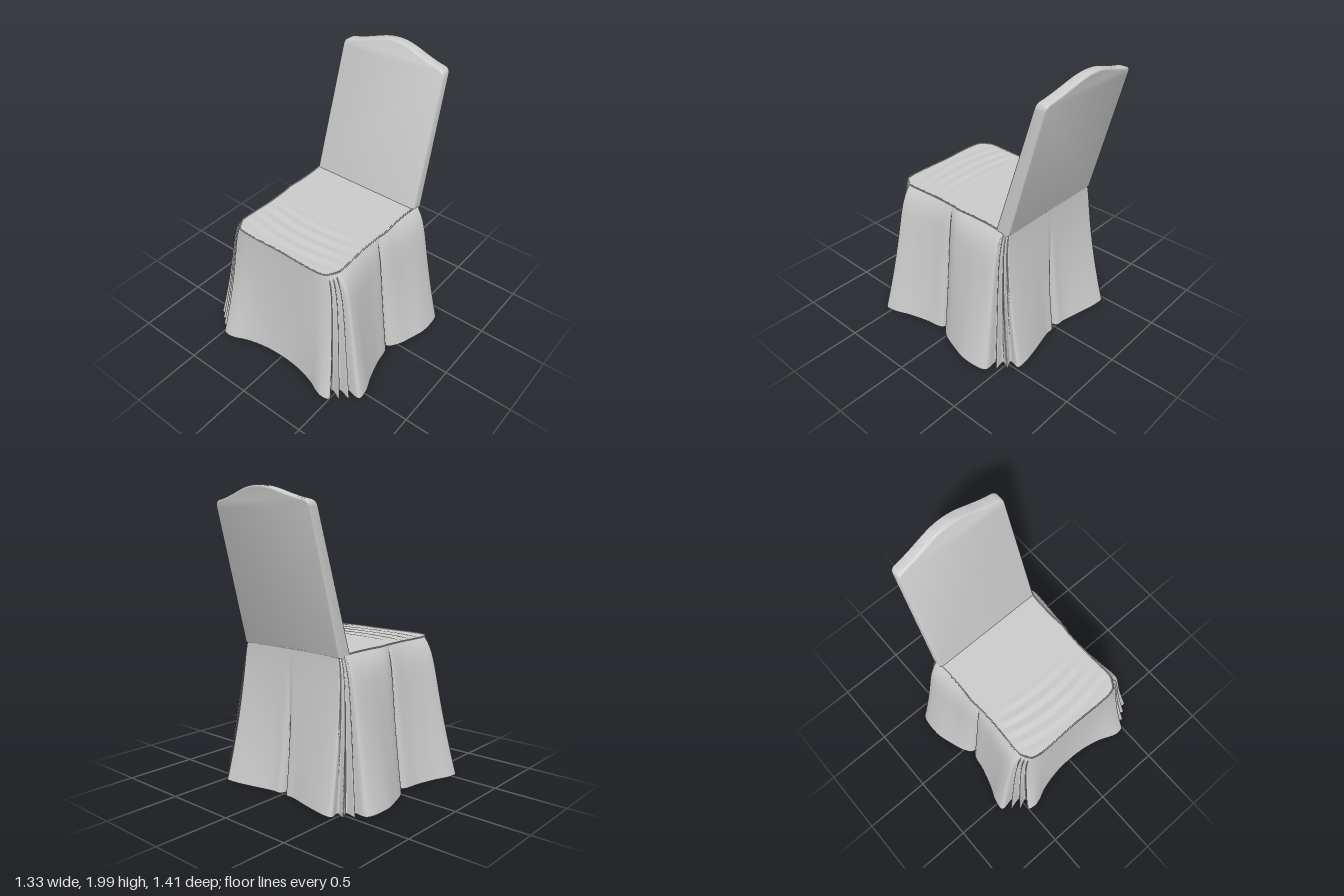
import * as THREE from 'three';
import { toCreasedNormals } from 'three/addons/utils/BufferGeometryUtils.js';

const { lerp, smoothstep } = THREE.MathUtils;
const SEAT_Y = 0.98, HEM_Y = 0.01, STEPS = 5;

// Zigzag between two outline points; every inner fold of the hem is pulled toward the seat
function pleats(from, to, folds, pull) {
  return Array.from({ length: folds * 2 + 1 }, (_, k) => {
    const [sx, sz, hx, hz] = from.map((v, i) => lerp(v, to[i], k / (folds * 2)));
    const inward = k % 2 ? pull : 0;
    return [sx, sz, lerp(hx, sx, inward), lerp(hz, sz, inward)];
  });
}

// Outline points are [seat x, seat z, hem x, hem z], from front centre to back centre
function skirtOutline() {
  const frontPanel = [
    [0, 0.567, 0, 0.61], [0.13, 0.57, 0.15, 0.62], [0.25, 0.572, 0.3, 0.655],
    [0.32, 0.568, 0.38, 0.69], [0.36, 0.558, 0.44, 0.705],
  ];
  const frontPleats = pleats([0.375, 0.55, 0.5, 0.69], [0.411, 0.49, 0.655, 0.56], 3, 0.38);
  const frontSide = [[0.416, 0.45, 0.655, 0.48], [0.412, 0.34, 0.61, 0.36], [0.407, 0.21, 0.57, 0.22]];
  const sideSlit = pleats([0.41, 0.085, 0.54, 0.085], [0.411, 0.055, 0.54, 0.055], 1, 0.4);
  const rearSide = [[0.418, 0, 0.585, 0], [0.412, -0.12, 0.63, -0.12], [0.412, -0.25, 0.663, -0.25]];
  const rearPleats = pleats([0.42, -0.385, 0.64, -0.43], [0.405, -0.427, 0.48, -0.575], 3, 0.35);
  const backPanel = [
    [0.38, -0.43, 0.41, -0.58], [0.25, -0.432, 0.25, -0.55], [0.1, -0.433, 0.1, -0.515],
    [0.03, -0.433, 0.025, -0.505], [0, -0.433, 0, -0.45],
  ];
  const half = [frontPanel, frontPleats, frontSide, sideSlit, rearSide, rearPleats, backPanel].flat();
  return [...half, ...half.slice(1, -1).reverse().map(([a, b, c, d]) => [-a, b, -c, d])];
}

function smoothLoop(points) {
  const curve = new THREE.CatmullRomCurve3(points, true, 'centripetal');
  const count = points.length * STEPS;
  return Array.from({ length: count }, (_, i) => curve.getPoint(i / count));
}

// Joins closed rings of points into one smooth surface
function loft(rows, count, pointAt) {
  const pos = [], idx = [];
  for (let r = 0; r <= rows; r++) {
    for (let i = 0; i < count; i++) pos.push(...pointAt(r / rows, i));
  }
  for (let r = 0; r < rows; r++) {
    for (let i = 0; i < count; i++) {
      const a = r * count + i, b = r * count + (i + 1) % count;
      idx.push(a, a + count, b, b, a + count, b + count);
    }
  }
  const g = new THREE.BufferGeometry();
  g.setAttribute('position', new THREE.Float32BufferAttribute(pos, 3));
  g.setIndex(idx);
  g.computeVertexNormals();
  return g;
}

// Crested panel, bevelled, then leaned back and thinned toward the top
function backrestGeometry() {
  const s = new THREE.Shape();
  s.moveTo(-0.425, 0.96);
  s.lineTo(0.425, 0.96);
  s.lineTo(0.405, 1.87);
  s.quadraticCurveTo(0.404, 1.905, 0.37, 1.915);
  s.bezierCurveTo(0.2, 1.945, 0.13, 2, 0, 2);
  s.bezierCurveTo(-0.13, 2, -0.2, 1.945, -0.37, 1.915);
  s.quadraticCurveTo(-0.404, 1.905, -0.405, 1.87);
  s.closePath();
  const g = new THREE.ExtrudeGeometry(s, {
    depth: 0.06, bevelThickness: 0.02, bevelSize: 0.014, bevelOffset: -0.014, bevelSegments: 4, curveSegments: 16,
  });
  const p = g.attributes.position;
  for (let i = 0; i < p.count; i++) {
    const h = p.getY(i) - SEAT_Y;
    const front = -0.33 - 0.295 * h, rear = -0.437 - 0.267 * h;
    p.setZ(i, lerp(rear, front, (p.getZ(i) + 0.02) / 0.1));
  }
  return toCreasedNormals(g, 0.7);
}

export function createModel() {
  const group = new THREE.Group();
  const cloth = new THREE.MeshStandardMaterial({ color: 0xcccccc, side: THREE.DoubleSide });
  const add = (name, geometry) => {
    const mesh = new THREE.Mesh(geometry, cloth);
    mesh.name = name;
    group.add(mesh);
  };
  const outline = skirtOutline();
  const seatPoints = outline.map(([x, z]) => new THREE.Vector3(x, SEAT_Y, z));
  const top = smoothLoop(seatPoints);
  const hem = smoothLoop(outline.map(([, , x, z]) => new THREE.Vector3(x, HEM_Y, z)));

  // Draped skirt: the sides puff out just below the seat, front and back flare late
  add('skirt', loft(28, top.length, (t, i) => {
    const fx = 0.3 * (1 - Math.exp(-12 * t)) + 0.7 * t ** 1.3;
    const fz = t ** 1.6;
    return [lerp(top[i].x, hem[i].x, fx), lerp(SEAT_Y, HEM_Y, t), lerp(top[i].z, hem[i].z, fz)];
  }));

  // Seat cover with faint curved wrinkles toward the front
  add('seat', loft(24, top.length, (t, i) => {
    const x = top[i].x * t, z = lerp(0.07, top[i].z, t);
    const fade = smoothstep(z, 0.1, 0.3) * (1 - t ** 6);
    return [x, SEAT_Y + 0.004 * fade * Math.sin((z + 0.35 * x * x) * 70), z];
  }));

  // Seam around the seat edge
  const seamPath = new THREE.CatmullRomCurve3(seatPoints, true, 'centripetal');
  add('seatSeam', new THREE.TubeGeometry(seamPath, 200, 0.005, 6, true));

  add('backrest', backrestGeometry());
  return group;
}
